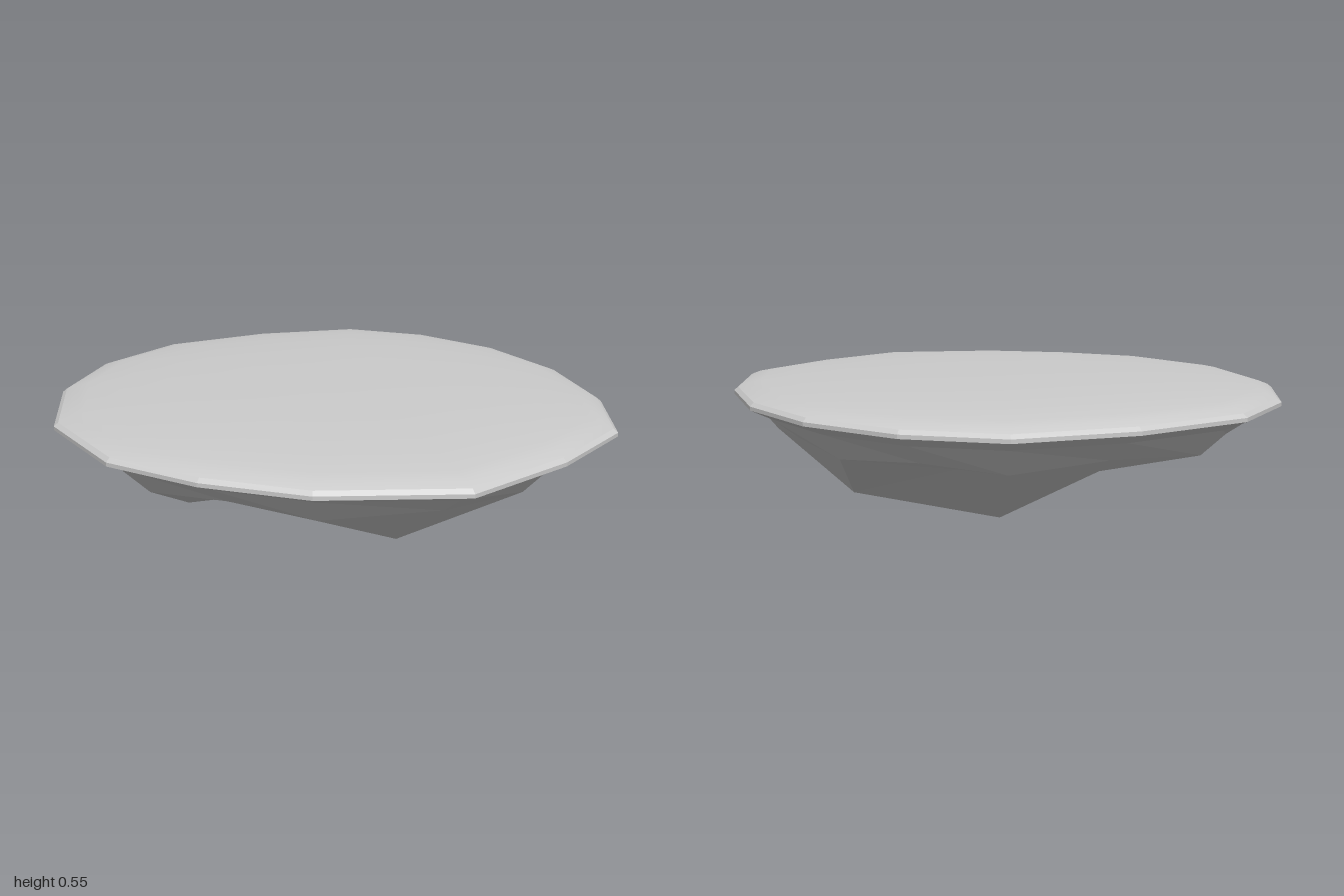
import * as THREE from 'three';

// Slightly irregular sixteen-sided girdle, as x,z pairs running from +x towards +z
const OUTLINE = [
  [1, -0.01], [0.92, 0.34], [0.75, 0.71], [0.34, 0.915],
  [-0.01, 0.955], [-0.35, 0.915], [-0.71, 0.69], [-0.93, 0.34],
  [-1, -0.01], [-0.93, -0.36], [-0.67, -0.69], [-0.35, -0.93],
  [-0.02, -0.96], [0.33, -0.86], [0.63, -0.65], [0.87, -0.34],
];
const N = OUTLINE.length;

const ring = (scale, y) => OUTLINE.map(([x, z]) => [x * scale, y, z * scale]);

// Two triangles per side between an upper and a lower ring
function band(upper, lower) {
  const tris = [];
  for (let i = 0; i < N; i++) {
    const k = (i + 1) % N;
    tris.push([upper[i], upper[k], lower[i]], [upper[k], lower[k], lower[i]]);
  }
  return tris;
}

function facetMesh(name, tris) {
  const geometry = new THREE.BufferGeometry();
  geometry.setAttribute('position', new THREE.Float32BufferAttribute(tris.flat(2), 3));
  geometry.computeVertexNormals();
  const material = new THREE.MeshStandardMaterial({
    color: 0xcccccc, flatShading: true, side: THREE.DoubleSide,
  });
  const mesh = new THREE.Mesh(geometry, material);
  mesh.name = name;
  return mesh;
}

// Smooth shallow dome: concentric rings rising to a centre point
function crownMesh() {
  const profile = [[0.985, 0.49], [0.95, 0.503], [0.9, 0.513], [0.78, 0.526], [0.6, 0.537], [0.36, 0.544]];
  const positions = profile.flatMap(([s, y]) => ring(s, y).flat());
  positions.push(0, 0.546, 0);
  const index = [];
  const centre = profile.length * N;
  for (let r = 0; r < profile.length; r++) {
    for (let i = 0; i < N; i++) {
      const k = (i + 1) % N;
      const a = r * N + i, b = r * N + k;
      if (r === profile.length - 1) index.push(a, centre, b);
      else index.push(a, a + N, b, b, a + N, b + N);
    }
  }
  const geometry = new THREE.BufferGeometry();
  geometry.setAttribute('position', new THREE.Float32BufferAttribute(positions, 3));
  geometry.setIndex(index);
  geometry.computeVertexNormals();
  const mesh = new THREE.Mesh(geometry, new THREE.MeshStandardMaterial({ color: 0xcccccc }));
  mesh.name = 'crown';
  return mesh;
}

export function createModel() {
  const model = new THREE.Group();
  model.name = 'cutGem';
  model.add(crownMesh());

  // Girdle: thin rim with a bevel beneath it
  const rimTop = ring(0.985, 0.49);
  const rimUpper = ring(1, 0.478);
  const rimLower = ring(1, 0.465);
  const bevel = ring(0.92, 0.43);
  model.add(facetMesh('girdle', [
    ...band(rimTop, rimUpper), ...band(rimUpper, rimLower), ...band(rimLower, bevel),
  ]));

  // Upper pavilion ring alternates between outer corners and recessed points
  const shoulder = OUTLINE.map(([x, z], i) =>
    i % 2 ? [x * 0.84, 0.34, z * 0.84] : [x * 0.82, 0.36, z * 0.82]);
  model.add(facetMesh('upperPavilion', band(bevel, shoulder)));

  // Lower pavilion: high points on the axes, low corners on the diagonals
  const waist = [];
  for (let j = 0; j < 8; j++) {
    const a = (j * Math.PI) / 4;
    const [r, y] = j % 2 ? [0.55, 0.152] : [0.41, 0.263];
    waist.push([r * Math.cos(a), y, r * Math.sin(a)]);
  }
  waist[5] = [-0.5, 0.31, -0.5]; // raised back corner
  const tip = [-0.01, 0, 0];

  const facets = [];
  const point = [];
  for (let j = 0; j < 8; j++) {
    const k = (j + 1) % 8;
    const before = shoulder[(2 * j + N - 1) % N];
    const middle = shoulder[2 * j];
    const after = shoulder[2 * j + 1];
    facets.push([before, middle, waist[j]], [middle, after, waist[j]], [after, waist[k], waist[j]]);
    if (j !== 2 && j !== 3) point.push([waist[j], waist[k], tip]);
  }
  // The front left corner overhangs a recessed facet
  point.push([waist[2], waist[3], waist[4]], [waist[2], waist[4], tip]);

  model.add(facetMesh('pavilionFacets', facets), facetMesh('pavilionPoint', point));
  return model;
}
